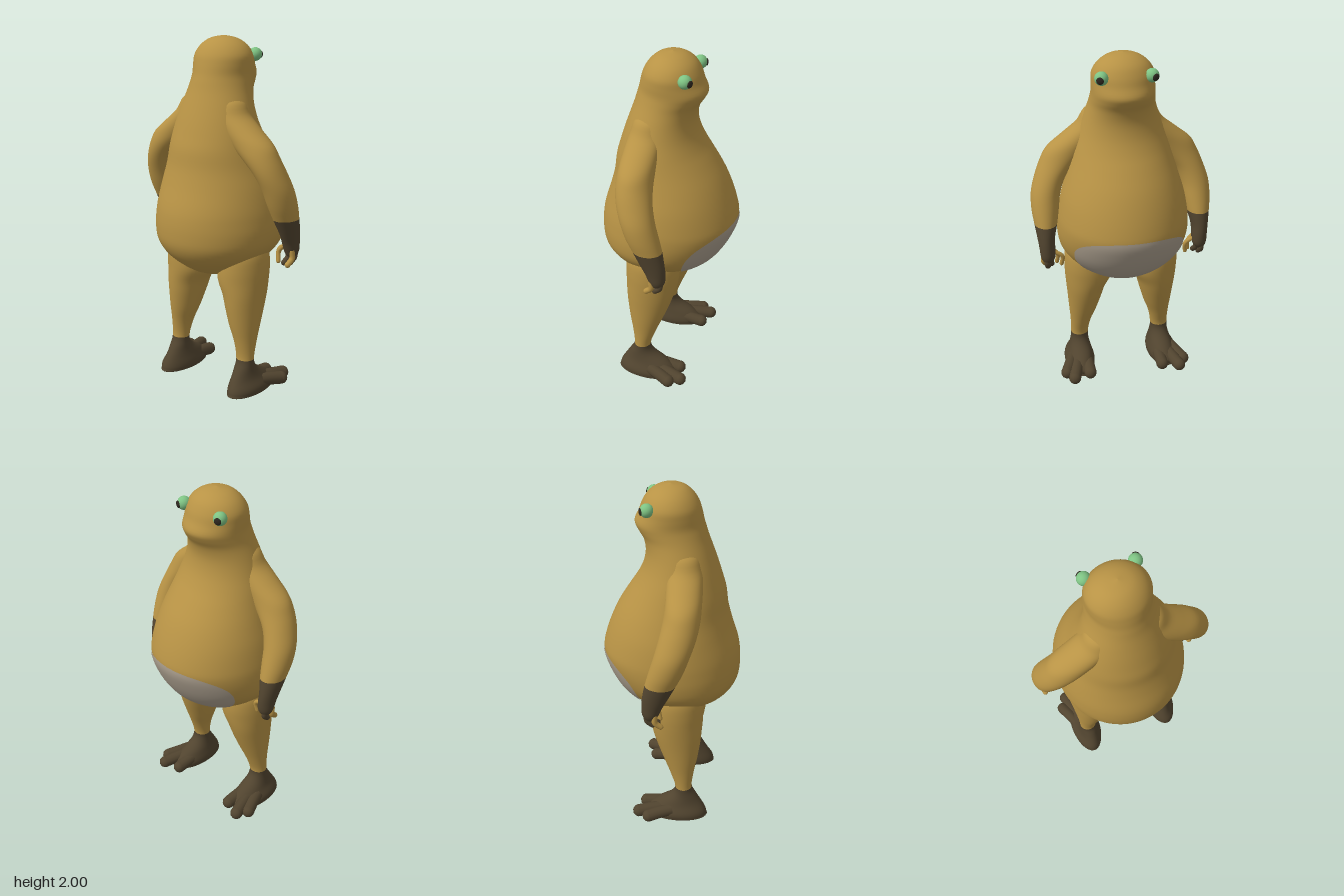
import * as THREE from 'three';

const mat = (name, color) => Object.assign(new THREE.MeshStandardMaterial({ color }), { name });

// Catmull-Rom smoothing of a list of rows, column by column
function smoothRows(rows, sub = 4) {
  const out = [];
  for (let i = 0; i < rows.length - 1; i++) {
    const a = rows[Math.max(i - 1, 0)], b = rows[i], c = rows[i + 1], d = rows[Math.min(i + 2, rows.length - 1)];
    for (let k = 0; k < sub; k++) {
      const t = k / sub;
      out.push(b.map((_, n) => 0.5 * (2 * b[n] + (c[n] - a[n]) * t
        + (2 * a[n] - 5 * b[n] + 4 * c[n] - d[n]) * t * t
        + (3 * b[n] - a[n] - 3 * c[n] + d[n]) * t * t * t)));
    }
  }
  out.push(rows[rows.length - 1]);
  return out;
}

// Skin over level oval rings, listed top to bottom as [y, xMin, xMax, zMin, zMax].
// Faces below cutY take the second material; side = -1 mirrors the part.
function loft(name, rows, mats, side = 1, cutY = -1, segs = 48) {
  const rings = smoothRows(rows), pos = [], idx = [];
  let cut = 0;
  rings.forEach(([y, x0, x1, z0, z1], i) => {
    for (let j = 0; j < segs; j++) {
      const a = j / segs * Math.PI * 2;
      pos.push(side * (x0 + x1) / 2 + Math.cos(a) * (x1 - x0) / 2, y, (z0 + z1) / 2 + Math.sin(a) * (z1 - z0) / 2);
      if (i < rings.length - 1) {
        const p = i * segs + j, q = i * segs + (j + 1) % segs;
        idx.push(p, q, p + segs, q, q + segs, p + segs);
      }
    }
    if (y > cutY + 1e-4) cut = Math.min(idx.length, (i + 1) * segs * 6);
  });
  const g = new THREE.BufferGeometry();
  g.setAttribute('position', new THREE.Float32BufferAttribute(pos, 3));
  g.setIndex(idx);
  g.computeVertexNormals();
  if (mats.length > 1) {
    g.addGroup(0, cut, 0);
    g.addGroup(cut, idx.length - cut, 1);
  }
  const m = new THREE.Mesh(g, mats.length > 1 ? mats : mats[0]);
  m.name = name;
  return m;
}

// Rounded finger or toe swept through a few points
function digit(name, points, r, material, side, flat = 1) {
  const group = new THREE.Group();
  group.name = name;
  const pts = points.map(([x, y, z]) => new THREE.Vector3(x * side, y, z));
  const tube = new THREE.Mesh(new THREE.TubeGeometry(new THREE.CatmullRomCurve3(pts), 10, r, 12), material);
  const tip = new THREE.Mesh(new THREE.SphereGeometry(r, 12, 10), material);
  tip.position.copy(pts[pts.length - 1]);
  group.add(tube, tip);
  group.scale.y = flat;
  return group;
}

const bodyRows = [
  [2.0, 0, 0, -0.01, -0.01], [1.985, -0.075, 0.075, -0.075, 0.06], [1.95, -0.132, 0.132, -0.128, 0.108],
  [1.9, -0.166, 0.166, -0.16, 0.142], [1.85, -0.171, 0.171, -0.178, 0.158], [1.8, -0.171, 0.171, -0.2, 0.17],
  [1.76, -0.175, 0.175, -0.185, 0.182], [1.71, -0.185, 0.185, -0.155, 0.197], [1.64, -0.208, 0.208, -0.142, 0.222],
  [1.56, -0.235, 0.235, -0.155, 0.25], [1.48, -0.262, 0.262, -0.19, 0.275], [1.4, -0.285, 0.285, -0.24, 0.298],
  [1.3, -0.315, 0.315, -0.3, 0.312], [1.2, -0.345, 0.345, -0.345, 0.338], [1.1, -0.365, 0.365, -0.378, 0.37],
  [1.03, -0.373, 0.373, -0.388, 0.385], [0.95, -0.373, 0.373, -0.364, 0.39], [0.87, -0.355, 0.355, -0.325, 0.382],
  [0.8, -0.305, 0.305, -0.275, 0.345], [0.74, -0.23, 0.23, -0.205, 0.28], [0.69, -0.145, 0.145, -0.12, 0.2],
  [0.66, -0.07, 0.07, -0.045, 0.11], [0.65, 0, 0, 0.03, 0.03],
];
const armRows = [
  [1.7, 0.11, 0.13, 0.06, 0.08], [1.66, 0.06, 0.2, 0, 0.15], [1.59, 0.05, 0.242, -0.01, 0.175],
  [1.52, 0.09, 0.325, -0.008, 0.185], [1.45, 0.15, 0.41, -0.005, 0.188], [1.38, 0.23, 0.45, -0.01, 0.186],
  [1.3, 0.305, 0.483, -0.025, 0.17], [1.21, 0.345, 0.511, -0.048, 0.14], [1.12, 0.362, 0.516, -0.074, 0.108],
  [1.04, 0.378, 0.507, -0.095, 0.07], [0.96, 0.398, 0.496, -0.11, 0.03], [0.9, 0.4, 0.489, -0.115, 0],
  [0.85, 0.403, 0.484, -0.112, -0.02], [0.82, 0.42, 0.47, -0.095, -0.035], [0.812, 0.445, 0.445, -0.065, -0.065],
];
const legRows = [
  [0.9, 0.1, 0.3, -0.05, 0.15], [0.82, 0.07, 0.33, -0.1, 0.19], [0.74, 0.055, 0.337, -0.11, 0.2],
  [0.66, 0.055, 0.335, -0.103, 0.2], [0.58, 0.095, 0.329, -0.085, 0.195], [0.5, 0.118, 0.322, -0.06, 0.188],
  [0.4, 0.147, 0.314, -0.022, 0.174], [0.3, 0.183, 0.306, 0.018, 0.155], [0.2, 0.2, 0.304, 0.048, 0.146],
  [0.14, 0.197, 0.31, 0.02, 0.175], [0.09, 0.185, 0.325, -0.06, 0.205], [0.045, 0.172, 0.35, -0.11, 0.23],
  [0.015, 0.172, 0.352, -0.11, 0.237], [0, 0.185, 0.34, -0.1, 0.225], [0, 0.26, 0.26, 0.06, 0.06],
];

// Thin rounded patch that hugs the lower belly
function bellyPatch(material) {
  const rings = smoothRows(bodyRows), pos = [], idx = [], nr = 16, na = 64;
  const power = v => Math.sign(v) * Math.abs(v) ** 0.78;
  const lift = 1.012;
  for (let i = 0; i <= nr; i++) {
    for (let j = 0; j < na; j++) {
      const f = j / na * Math.PI * 2, r = i / nr;
      const th = r * power(Math.cos(f)), y = 0.87 + 0.187 * r * power(Math.sin(f));
      const k = rings.findIndex(row => row[0] < y), a = rings[k - 1], b = rings[k];
      const t = (a[0] - y) / (a[0] - b[0]);
      const [, , w, z0, z1] = a.map((v, n) => v + (b[n] - v) * t);
      const x = w * Math.sin(th), z = (z0 + z1) / 2 - (z1 - z0) / 2 * Math.cos(th);
      pos.push(x * lift, 1 + (y - 1) * lift, z * lift);
      if (i < nr) {
        const p = i * na + j, q = i * na + (j + 1) % na;
        idx.push(p, q, p + na, q, q + na, p + na);
      }
    }
  }
  const g = new THREE.BufferGeometry();
  g.setAttribute('position', new THREE.Float32BufferAttribute(pos, 3));
  g.setIndex(idx);
  g.computeVertexNormals();
  const m = new THREE.Mesh(g, material);
  m.name = 'bellyPatch';
  return m;
}

export function createModel() {
  const skin = mat('ochre skin', 0xb89345), dark = mat('dark brown', 0x51442f);
  const grey = mat('belly grey', 0xa99d8c), green = mat('eye green', 0x7fc484), black = mat('pupil', 0x2e2820);
  const model = new THREE.Group();
  model.name = 'creature';
  model.add(loft('body', bodyRows, [skin], 1, -1, 72), bellyPatch(grey));

  for (const s of [1, -1]) {
    const label = s > 0 ? 'left' : 'right';
    model.add(loft(label + 'Arm', armRows, [skin, dark], s, 1.04));
    model.add(loft(label + 'Leg', legRows, [skin, dark], s, 0.2));

    // Fingers: dark outer ones, pale inner ones
    [[0.465, -0.04, skin], [0.45, -0.085, dark], [0.425, -0.06, dark]].forEach(([x, z, m], i) =>
      model.add(digit(label + 'Finger' + i, [[x, 0.86, z], [x + 0.002, 0.81, z], [x - 0.005, 0.78, z + 0.03]], 0.016, m, s)));
    [[0.385, -0.03], [0.362, -0.06]].forEach(([x, z], i) =>
      model.add(digit(label + 'InnerFinger' + i, [[0.415, 0.875, z], [x, 0.84, z], [x + 0.004, 0.785, z + 0.01]], 0.012, skin, s)));

    // Splayed toes
    [[0.225, 0.225, -0.13], [0.27, 0.325, -0.163], [0.31, 0.364, -0.1]].forEach(([x, tx, tz], i) =>
      model.add(digit(label + 'Toe' + i, [[x, 0.055, 0.03], [(x + tx) / 2, 0.047, (tz + 0.02) / 2], [tx, 0.038, tz]], 0.037, dark, s)));

    // Bulging eye with a pupil looking forward
    const eye = new THREE.Mesh(new THREE.SphereGeometry(0.037, 24, 18), green);
    eye.name = label + 'Eye';
    eye.position.set(0.134 * s, 1.897, -0.117);
    const pupil = new THREE.Mesh(new THREE.SphereGeometry(0.02, 18, 12), black);
    pupil.name = label + 'Pupil';
    const dir = new THREE.Vector3(0.38 * s, -0.08, -0.92).normalize();
    pupil.position.copy(eye.position).addScaledVector(dir, 0.033);
    pupil.scale.z = 0.45;
    pupil.quaternion.setFromUnitVectors(new THREE.Vector3(0, 0, -1), dir);
    model.add(eye, pupil);
  }
  return model;
}
